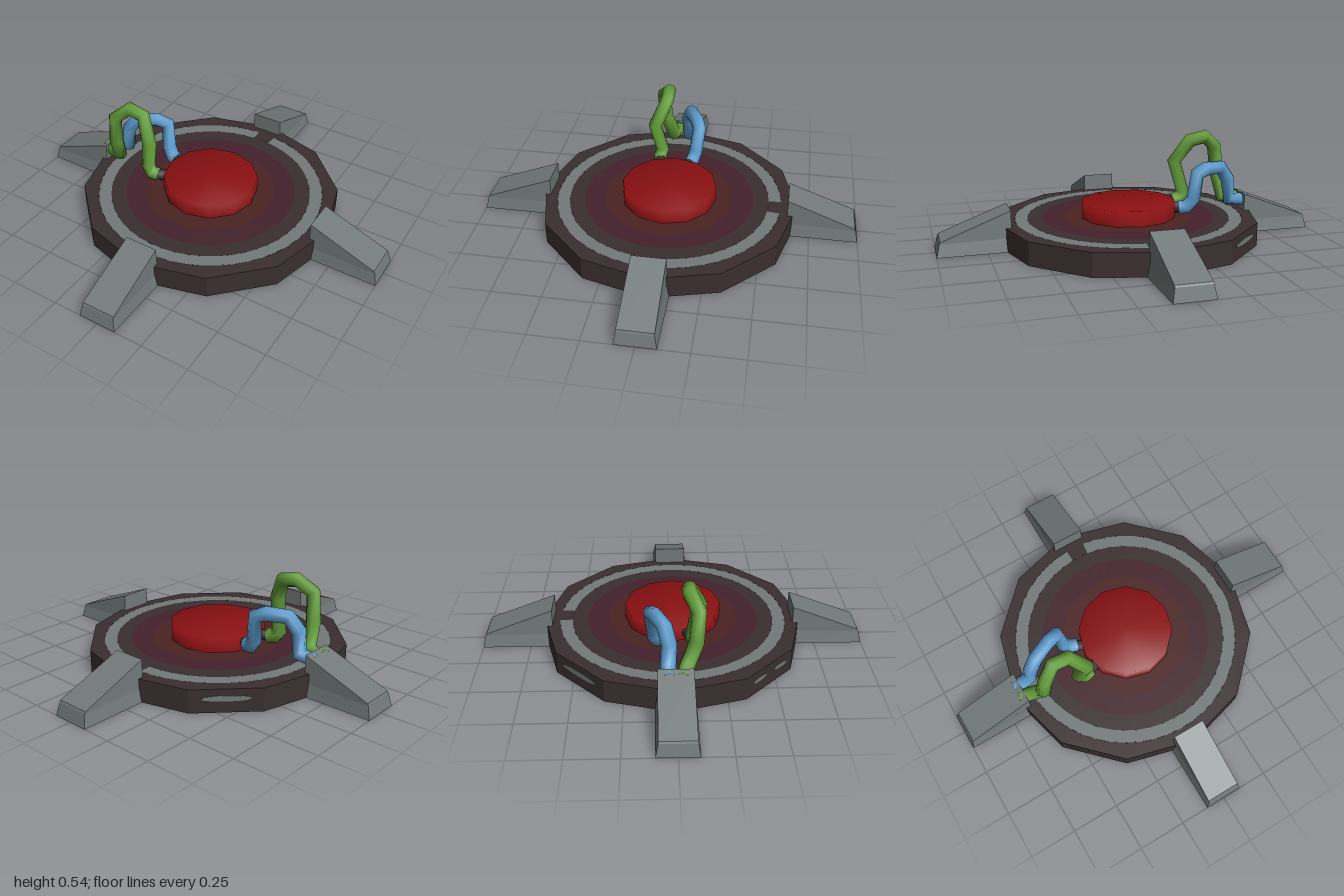
import * as THREE from 'three';

const mat = (name, color, extra = {}) => {
  const m = new THREE.MeshStandardMaterial({ color, ...extra });
  m.name = name;
  return m;
};

// Curve that passes through each bend with mitred joints
class BentPath extends THREE.Curve {
  constructor(points) {
    super();
    this.pts = points.map((p) => new THREE.Vector3(...p));
  }
  getPointAt(u) {
    return this.pts[Math.round(u * (this.pts.length - 1))].clone();
  }
  getTangentAt(u) {
    const p = this.pts, n = p.length - 1, i = Math.round(u * n), t = new THREE.Vector3();
    if (i > 0) t.add(p[i].clone().sub(p[i - 1]).normalize());
    if (i < n) t.add(p[i + 1].clone().sub(p[i]).normalize());
    return t.normalize();
  }
}

const tube = (points, radius) =>
  new THREE.TubeGeometry(new BentPath(points), points.length - 1, radius, 8, false);

const faceted = (geo) => {
  const g = geo.toNonIndexed();
  g.computeVertexNormals();
  return g;
};

// Wedge foot pointing along +z, with slightly flared base
function footGeometry() {
  const g = new THREE.BoxGeometry(1, 1, 1, 1, 2, 1);
  const p = g.attributes.position;
  for (let i = 0; i < p.count; i++) {
    const side = Math.sign(p.getX(i)), outer = p.getZ(i) > 0;
    const level = Math.round((p.getY(i) + 0.5) * 2);
    const halfWidth = [0.1, 0.088, outer ? 0.088 : 0.085][level];
    const y = outer ? [0, 0.065, 0.075][level] : [0, 0.07, 0.21][level];
    const z = outer ? [1, 0.985, 0.98][level] : 0.63;
    p.setXYZ(i, side * halfWidth, y, z);
  }
  return faceted(g);
}

export function createModel() {
  const model = new THREE.Group();
  const two = { side: THREE.DoubleSide };
  const dark = mat('dark brown', 0x3a2f30, two);
  const purple = mat('dark plum', 0x43222c, two);
  const rust = mat('dark rust', 0x4a2322, two);
  const grey = mat('steel grey', 0x727a79, two);
  const red = mat('button red', 0x8a1012, two);
  const green = mat('cable green', 0x639c3a, two);
  const blue = mat('cable blue', 0x5c9acb, two);

  const add = (name, geo, material, parent = model) => {
    const m = new THREE.Mesh(geo, material);
    m.name = name;
    parent.add(m);
    return m;
  };

  // Twelve-sided shell, open underneath
  const R = 0.68, H = 0.12;
  add('baseWall', faceted(new THREE.CylinderGeometry(R, R, H, 12, 1, true)), dark).position.y = H / 2;

  // Top of the shell: rim plus concentric painted bands
  const rim = new THREE.Shape();
  for (let i = 0; i < 12; i++) {
    const a = (i * Math.PI) / 6;
    if (i) rim.lineTo(R * Math.cos(a), R * Math.sin(a));
    else rim.moveTo(R, 0);
  }
  rim.holes.push(new THREE.Path().absarc(0, 0, 0.595, 0, Math.PI * 2, true));
  const top = new THREE.Group();
  top.name = 'baseTop';
  top.rotation.x = -Math.PI / 2;
  top.position.y = H;
  model.add(top);
  add('rim', new THREE.ShapeGeometry(rim, 48), dark, top);
  const gapStart = THREE.MathUtils.degToRad(83), gap = THREE.MathUtils.degToRad(10);
  const band = (name, r0, r1, material, start = 0, length = Math.PI * 2) =>
    add(name, new THREE.RingGeometry(r0, r1, 48, 1, start, length), material, top);
  band('greyRing', 0.53, 0.595, grey, gapStart + gap, Math.PI * 2 - gap);
  band('greyRingGap', 0.53, 0.595, dark, gapStart, gap);
  band('darkBand', 0.45, 0.53, dark);
  band('plumBand', 0.34, 0.45, purple);
  add('rustCentre', new THREE.CircleGeometry(0.34, 48), rust, top);

  // Worn grey patches on two wall faces
  const patches = [[-45, 0.08, 0.05, 0.012], [-45, -0.08, 0.05, 0.012], [-135, 0, 0.12, 0.015]];
  for (const [deg, x, halfLength, halfHeight] of patches) {
    const holder = new THREE.Group();
    holder.name = 'wallPatch';
    holder.rotation.y = THREE.MathUtils.degToRad(deg);
    model.add(holder);
    const geo = new THREE.CylinderGeometry(1, 1, 0.006, 12).rotateX(Math.PI / 2);
    geo.scale(halfLength, halfHeight, 1);
    add('patch', geo, grey, holder).position.set(x, 0.072, R * Math.cos(Math.PI / 12));
  }

  // Four feet
  const foot = footGeometry();
  for (let i = 0; i < 4; i++) add('foot', foot, grey).rotation.y = (i * Math.PI) / 2;

  // Central button with soft shading
  const profile = [[0.25, 0.113], [0.25, 0.2], [0, 0.2]].map((p) => new THREE.Vector2(...p));
  add('button', new THREE.LatheGeometry(profile, 12), red);

  // Two bent cables from a foot to the button, each with a dark plug
  add('greenCable', tube([
    [-0.66, 0.17, 0.03], [-0.555, 0.175, 0.055], [-0.54, 0.3, 0.1], [-0.525, 0.45, 0.11],
    [-0.455, 0.508, 0.07], [-0.37, 0.49, 0.07], [-0.3, 0.37, 0.125], [-0.34, 0.2, 0.09],
    [-0.31, 0.165, 0.1], [-0.27, 0.16, 0.09],
  ], 0.038), green);
  add('greenCablePlug', tube([[-0.29, 0.16, 0.097], [-0.21, 0.16, 0.06]], 0.03), dark);
  add('blueCable', tube([
    [-0.66, 0.17, -0.03], [-0.56, 0.18, -0.035], [-0.55, 0.29, -0.03], [-0.5, 0.36, -0.05],
    [-0.4, 0.365, -0.095], [-0.345, 0.345, -0.115], [-0.33, 0.21, -0.1],
    [-0.3, 0.165, -0.085], [-0.26, 0.16, -0.07],
  ], 0.038), blue);
  add('blueCablePlug', tube([[-0.28, 0.16, -0.075], [-0.21, 0.16, -0.045]], 0.03), dark);

  return model;
}
